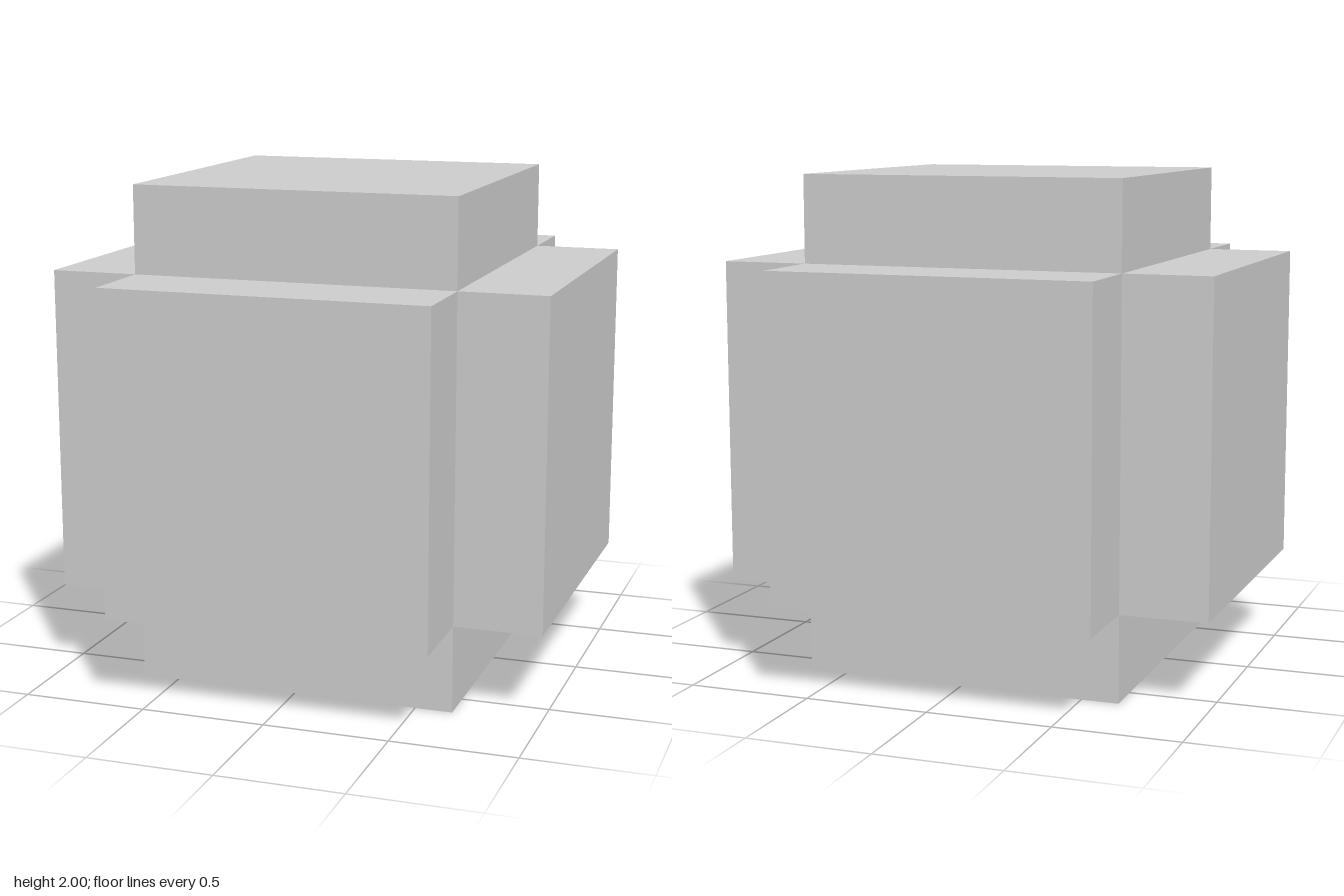
import * as THREE from 'three';

const CORE = 1.3;             // width of the central cube and of every arm
const DEPTH = (2 - CORE) / 2; // how far each arm stands out

// Square block standing on the core's top face, without its hidden base
function armGeometry() {
  const geo = new THREE.BoxGeometry(CORE, DEPTH, CORE);
  const index = Array.from(geo.index.array);
  index.splice(18, 6); // drop the -y side
  geo.setIndex(index);
  geo.clearGroups();
  geo.translate(0, (CORE + DEPTH) / 2, 0);
  return geo;
}

export function createModel() {
  const model = new THREE.Group();
  model.name = 'sixArmedBlock';
  const material = new THREE.MeshStandardMaterial({ color: 0xcccccc, flatShading: true });
  const geo = armGeometry();
  const q = Math.PI / 2;

  // Six arms cover all faces of the core and close the solid
  const arms = [
    ['topArm', 0, 0],
    ['bottomArm', Math.PI, 0],
    ['frontArm', q, 0],
    ['backArm', -q, 0],
    ['leftArm', 0, -q],
    ['rightArm', 0, q],
  ];
  for (const [name, rx, rz] of arms) {
    const arm = new THREE.Mesh(geo, material);
    arm.name = name;
    arm.rotation.set(rx, 0, rz);
    arm.position.y = 1;
    model.add(arm);
  }
  return model;
}
